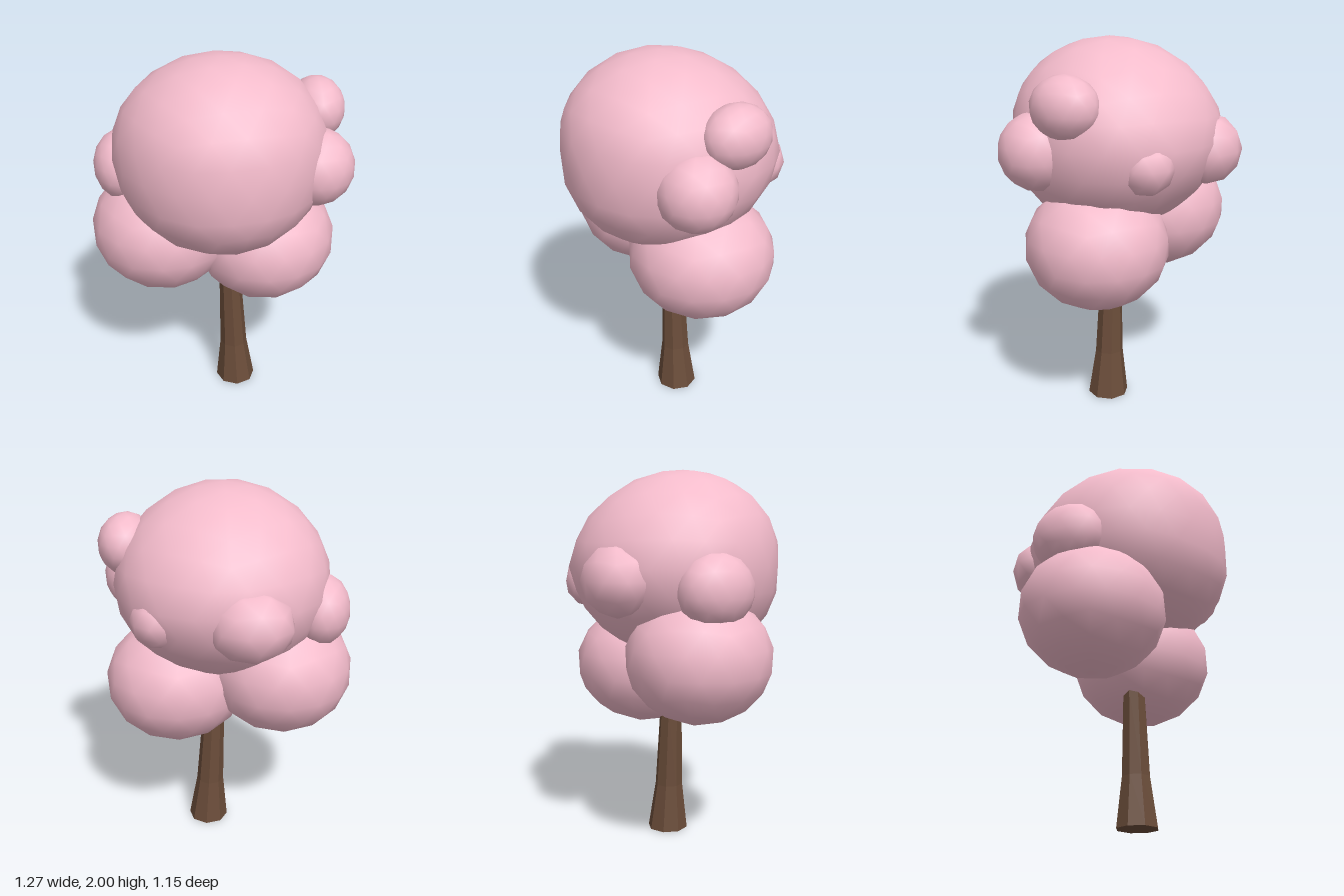
import * as THREE from 'three';
import { mergeVertices } from 'three/addons/utils/BufferGeometryUtils.js';

const blossom = new THREE.MeshStandardMaterial({ color: 0xf3bbcb });
const bark = new THREE.MeshStandardMaterial({ color: 0x6b4d3a, flatShading: true });

// Faceted ball with smooth normals, a corner pointing down, turned by yaw.
// lean carries its top and bottom towards +x +z; bulge swells that corner.
function puff(name, [x, y, z], [rx, ry, rz], { detail = 2, yaw = 0, lean = 0, bulge = 0 } = {}) {
  let geo = new THREE.IcosahedronGeometry(1, detail);
  geo.deleteAttribute('uv');
  geo.deleteAttribute('normal');
  geo = mergeVertices(geo);
  geo.rotateZ(-Math.atan(2 / (1 + Math.sqrt(5))));
  const p = geo.attributes.position;
  const v = new THREE.Vector3();
  for (let i = 0; i < p.count; i++) {
    v.fromBufferAttribute(p, i);
    v.multiplyScalar(1 + bulge * (v.x + v.z) * v.x * v.z);
    const shift = lean * Math.abs(v.y);
    p.setXYZ(i, v.x * rx + shift, v.y * ry, v.z * rz + shift);
  }
  geo.computeVertexNormals();
  const mesh = new THREE.Mesh(geo, blossom);
  mesh.name = name;
  mesh.position.set(x, y, z);
  mesh.rotation.y = yaw;
  return mesh;
}

// Eight-sided flared trunk whose rings drift towards the crown
function trunk() {
  const profile = [[0, 0], [0.112, 0], [0.077, 0.26], [0.06, 0.72], [0.045, 1.1], [0, 1.1]];
  const geo = new THREE.LatheGeometry(profile.map(([r, y]) => new THREE.Vector2(r, y)), 8);
  const p = geo.attributes.position;
  for (let i = 0; i < p.count; i++) {
    const y = p.getY(i);
    p.setX(i, p.getX(i) + 0.07 - 0.033 * y);
    p.setZ(i, p.getZ(i) - 0.04 + 0.035 * y);
  }
  const mesh = new THREE.Mesh(geo, bark);
  mesh.name = 'trunk';
  return mesh;
}

export function createModel() {
  const tree = new THREE.Group();
  tree.name = 'tree';
  tree.add(trunk());

  // Large foliage masses
  const foliage = new THREE.Group();
  foliage.name = 'foliage';
  foliage.add(
    puff('mainCrown', [-0.005, 1.495, 0.005], [0.56, 0.505, 0.56], { detail: 3, lean: 0.045, bulge: 0.035 }),
    puff('lowerFrontFoliage', [-0.255, 1.04, 0.195], [0.385, 0.34, 0.38]),
    puff('lowerBackFoliage', [0.15, 0.95, -0.185], [0.38, 0.34, 0.39]),
  );

  // Small tufts around the crown: position, radii, shape
  const tufts = [
    ['frontTuft', [-0.42, 1.395, 0.305], [0.205, 0.185, 0.155], { yaw: -Math.PI / 4 }],
    ['leftTuft', [0.45, 1.46, -0.19], [0.195, 0.2, 0.2]],
    ['upperBackTuft', [0.325, 1.695, -0.355], [0.185, 0.158, 0.145], { yaw: -Math.PI / 4 }],
    ['rightTuft', [-0.43, 1.435, -0.18], [0.215, 0.185, 0.175], { detail: 1, yaw: Math.PI / 4 }],
    ['backTuft', [-0.05, 1.415, -0.435], [0.145, 0.145, 0.145], { detail: 1 }],
  ];
  for (const tuft of tufts) foliage.add(puff(...tuft));

  tree.add(foliage);
  return tree;
}
